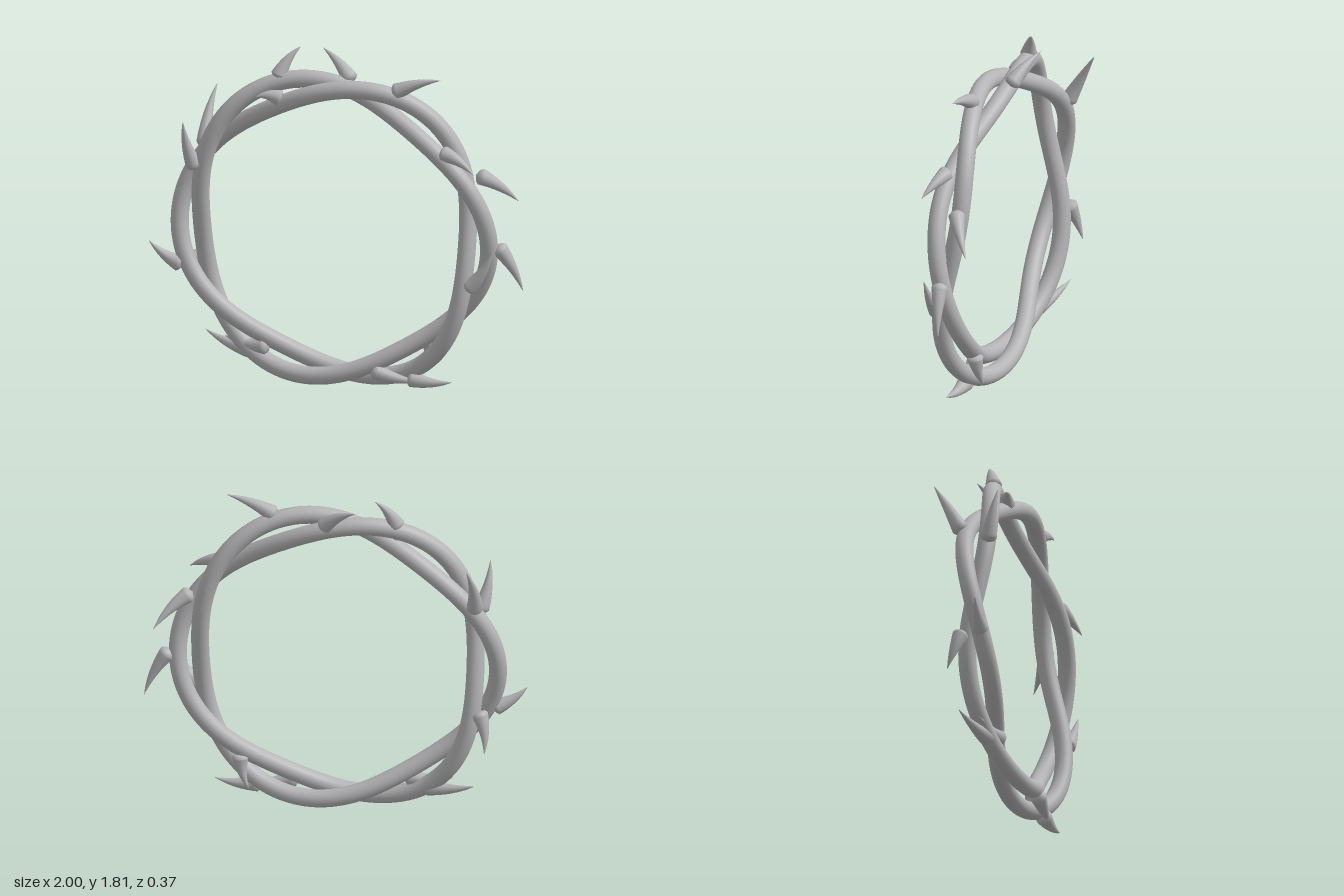
import * as THREE from 'three';
import { mergeVertices } from 'three/addons/utils/BufferGeometryUtils.js';

const CENTRE = new THREE.Vector3(-0.014, 0.849, 0.046);

// One vine strand: a ring that coils three times around its own path
class StrandCurve extends THREE.Curve {
  constructor(sign) {
    super();
    this.sign = sign;
  }
  getPoint(u, target = new THREE.Vector3()) {
    const t = u * Math.PI * 2;
    const r = 0.781 + this.sign * 0.059 * Math.cos(3 * t);
    return target.set(
      CENTRE.x + r * Math.cos(t),
      CENTRE.y + r * Math.sin(t),
      CENTRE.z + this.sign * 0.056 * Math.sin(3 * t)
    );
  }
}

// Curved thorn: a tube bowed away from the ring centre, tapering to a point
function thornGeometry(base, tip, radius) {
  const a = new THREE.Vector3(...base), b = new THREE.Vector3(...tip);
  const out = a.clone().sub(CENTRE).setZ(0).normalize();
  const control = a.clone().lerp(b, 0.45).addScaledVector(out, 0.035);
  const curve = new THREE.QuadraticBezierCurve3(a, control, b);
  const rings = 20, sides = 16;
  const geo = new THREE.TubeGeometry(curve, rings, radius, sides, false);
  const pos = geo.attributes.position, p = new THREE.Vector3();
  for (let i = 0; i <= rings; i++) {
    const u = i / rings, c = curve.getPointAt(u);
    const blunt = Math.sqrt(Math.min(1, u / 0.1)); // rounded root
    const scale = blunt * Math.pow(1 - u, 0.9);
    for (let j = 0; j <= sides; j++) {
      const k = i * (sides + 1) + j;
      p.fromBufferAttribute(pos, k).sub(c).multiplyScalar(scale).add(c);
      pos.setXYZ(k, p.x, p.y, p.z);
    }
  }
  geo.deleteAttribute('uv');
  geo.deleteAttribute('normal');
  const merged = mergeVertices(geo, 1e-5);
  merged.computeVertexNormals();
  return merged;
}

// Thorn roots and tips, clockwise from the top
const THORNS = [
  [[0.06, 1.64, -0.03], [-0.13, 1.78, -0.13]],
  [[0.31, 1.64, 0.07], [0.575, 1.74, 0.08]],
  [[0.58, 1.35, 0.1], [0.78, 1.27, 0.17]],
  [[0.74, 1.21, -0.01], [0.93, 1.04, -0.14]],
  [[0.86, 0.85, 0.03], [0.995, 0.594, -0.01]],
  [[0.72, 0.61, 0.1], [0.87, 0.845, 0.12]],
  [[0.49, 0.29, -0.01], [0.44, 0.1, -0.04]],
  [[0.39, 0.085, 0.07], [0.64, 0.09, 0.09]],
  [[0.2, 0.12, 0.1], [0.48, 0.075, 0.085]],
  [[-0.36, 0.18, 0.07], [-0.62, 0.205, 0.03]],
  [[-0.46, 0.14, 0.04], [-0.745, 0.2, -0.045]],
  [[-0.76, 0.63, -0.02], [-0.8, 0.41, -0.09]],
  [[-0.82, 0.59, 0.1], [-1.0, 0.715, 0.12]],
  [[-0.745, 1.13, 0.115], [-0.795, 1.41, 0.187]],
  [[-0.74, 1.2, -0.02], [-0.72, 1.51, -0.187]],
  [[-0.29, 1.55, 0.08], [-0.42, 1.56, 0.125]],
  [[-0.33, 1.64, 0.025], [-0.22, 1.81, -0.035]],
];

export function createModel() {
  const model = new THREE.Group();
  model.name = 'thornWreath';
  const grey = new THREE.MeshStandardMaterial({ color: 0xb4b4b6 });
  grey.name = 'vine grey';

  // Two intertwined strands
  for (const [name, sign] of [['firstStrand', 1], ['secondStrand', -1]]) {
    const geo = new THREE.TubeGeometry(new StrandCurve(sign), 180, 0.047, 20, true);
    const strand = new THREE.Mesh(geo, grey);
    strand.name = name;
    model.add(strand);
  }

  // Thorns
  const thorns = new THREE.Group();
  thorns.name = 'thorns';
  THORNS.forEach(([base, tip], i) => {
    const thorn = new THREE.Mesh(thornGeometry(base, tip, 0.048), grey);
    thorn.name = `thorn${i + 1}`;
    thorns.add(thorn);
  });
  model.add(thorns);
  return model;
}
